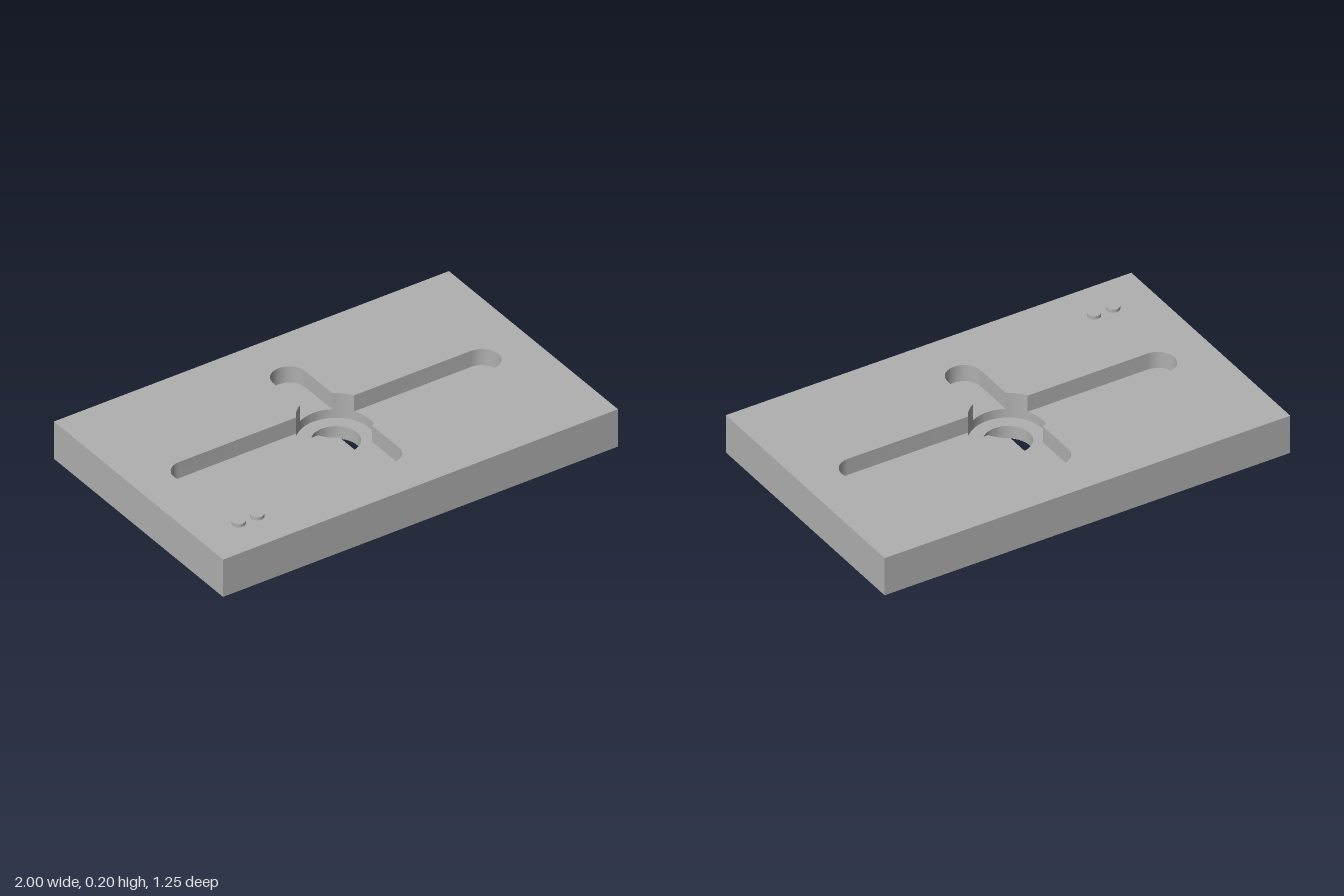
import * as THREE from 'three';
import { mergeGeometries, toCreasedNormals } from 'three/addons/utils/BufferGeometryUtils.js';

const X = 1, Z = 0.627, TOP = 0.188;            // plate half sizes and top height
const SLOT_Y = 0.107, BORE_Y = 0.063;           // slot floor and counterbore floor heights
const W = 0.081, BORE_R = 0.168, HOLE_R = 0.105; // slot half width, radii
const S = Math.asin(W / BORE_R), Q = Math.PI / 2;
const ARMS = [0, 1, 2, 3].map(i => ({ angle: i * Q, reach: (i % 2 ? 0.427 : 0.82) - W }));
const SEG = 10;

// Rounded outer end of one slot arm
function armEnd(path, { angle, reach }) {
  path.absarc(reach * Math.cos(angle), reach * Math.sin(angle), W, angle - Q, angle + Q);
}

// Horizontal face at height y
function flat(shape, y, down = false) {
  return new THREE.ShapeGeometry(shape, SEG).rotateX(down ? Q : -Q).translate(0, y, 0);
}

// Vertical wall following an outline; inward for holes
function wall(path, y0, y1, inward = false) {
  const pts = path.getPoints(SEG), pos = [];
  if (inward) pts.reverse();
  pts.forEach((a, i) => {
    const b = pts[(i + 1) % pts.length];
    if (a.distanceTo(b) < 1e-6) return;
    pos.push(a.x, y0, -a.y, b.x, y0, -b.y, b.x, y1, -b.y);
    pos.push(a.x, y0, -a.y, b.x, y1, -b.y, a.x, y1, -a.y);
  });
  const g = new THREE.BufferGeometry();
  g.setAttribute('position', new THREE.Float32BufferAttribute(pos, 3));
  g.computeVertexNormals();
  return g;
}

export function createModel() {
  const group = new THREE.Group();
  const grey = new THREE.MeshStandardMaterial({ color: 0xb0b0b0 });
  grey.name = 'plain grey';
  const add = (name, geometry) => {
    const mesh = new THREE.Mesh(geometry, grey);
    mesh.name = name;
    group.add(mesh);
    return mesh;
  };

  // Outlines
  const plate = () => new THREE.Shape([[-X, -Z], [X, -Z], [X, Z], [-X, Z]].map(p => new THREE.Vector2(...p)));
  const cross = new THREE.Path(), bore = new THREE.Shape(), hole = new THREE.Path();
  for (const arm of ARMS) {
    const a = arm.angle;
    armEnd(cross, arm);
    cross.absarc(0, 0, BORE_R, a + S, a + Q - S);
    bore.absarc(0, 0, BORE_R, a - S, a + S);
    bore.absarc(0, 0, BORE_R, a + S, a + Q - S);
    hole.absarc(0, 0, HOLE_R, a, a + Q);
  }

  // Plate skin
  const top = plate(), bottom = plate();
  top.holes.push(cross);
  bottom.holes.push(hole);
  add('plateTop', flat(top, TOP));
  add('plateBottom', flat(bottom, 0, true));
  add('plateSides', toCreasedNormals(wall(plate(), 0, TOP), 0.5));

  // Cross recess and counterbore
  add('recessWalls', toCreasedNormals(mergeGeometries([
    wall(cross, SLOT_Y, TOP, true), wall(bore, BORE_Y, SLOT_Y, true),
  ]), 0.5));
  for (const arm of ARMS) {
    const floor = new THREE.Shape();
    armEnd(floor, arm);
    floor.absarc(0, 0, BORE_R, arm.angle + S, arm.angle - S, true);
    add('slotFloor', flat(floor, SLOT_Y));
  }
  bore.holes.push(hole);
  add('counterboreFloor', flat(bore, BORE_Y));
  add('throughHoleWall', toCreasedNormals(wall(hole, 0, BORE_Y, true), 0.5));

  // Two small pins near the front right corner
  for (const x of [-0.793, -0.699]) {
    add('pin', new THREE.CylinderGeometry(0.03, 0.03, 0.017, 32)).position.set(x, 0.195, 0.44);
  }
  return group;
}
